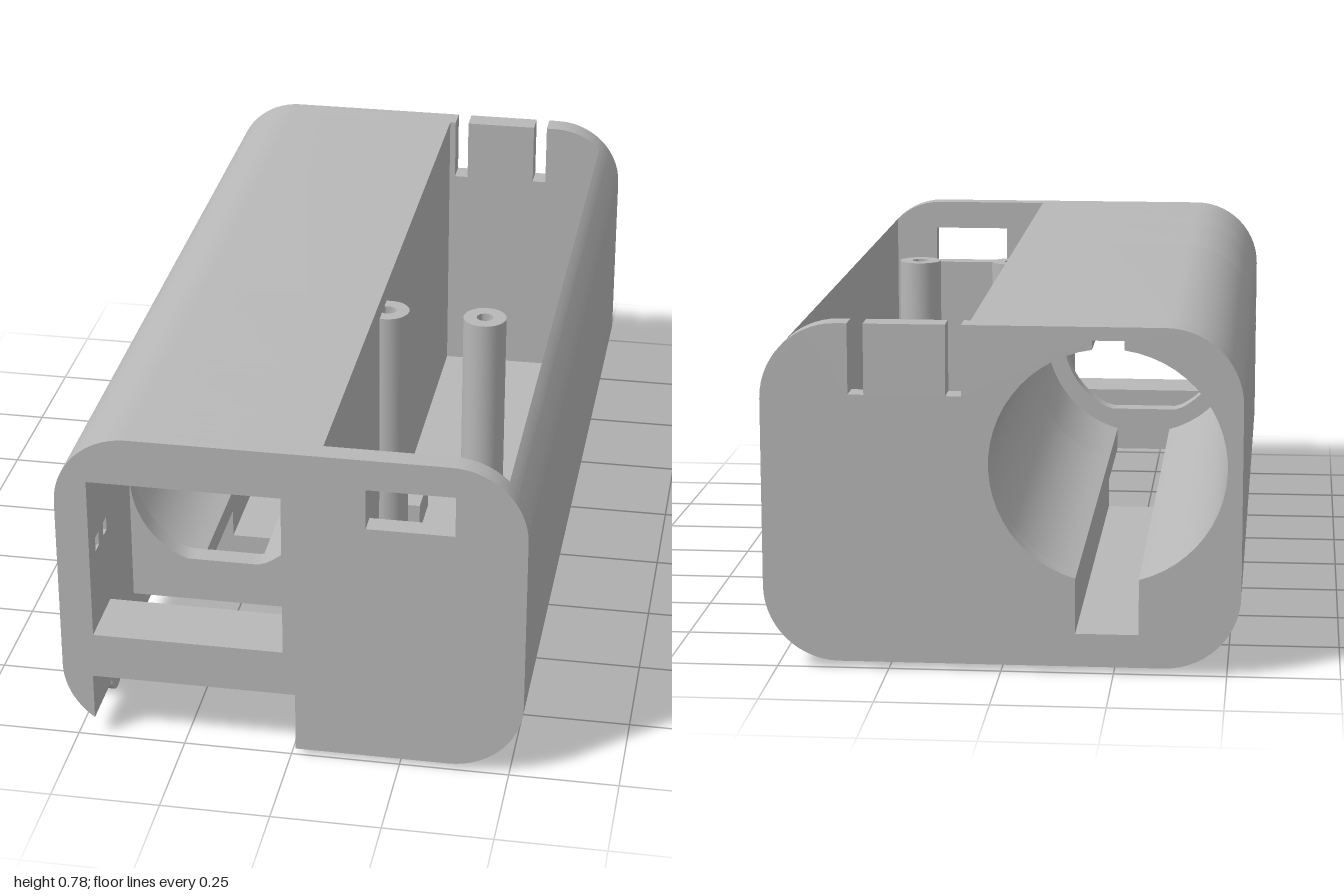
import * as THREE from 'three';
import { toCreasedNormals } from 'three/addons/utils/BufferGeometryUtils.js';

const PI = Math.PI;
const P = (x, y) => new THREE.Vector2(x, y);

// Points along a circular arc
function arc(cx, cy, r, a0, a1, n = 14) {
  return Array.from({ length: n + 1 }, (_, i) => {
    const a = a0 + (a1 - a0) * i / n;
    return P(cx + r * Math.cos(a), cy + r * Math.sin(a));
  });
}
const rect = (x0, x1, y0, y1) => [P(x0, y0), P(x1, y0), P(x1, y1), P(x0, y1)];

// Case dimensions
const X = 0.53, Y0 = 0.015, Y1 = 0.778, R = 0.17;
const BX = -0.235, BY = 0.468, BR = 0.262;

// Long round bore with a slot below and a small groove above
function bore(slotY) {
  const s = Math.acos(0.07 / BR), g = Math.acos(0.035 / BR);
  return [
    P(BX + 0.07, slotY), ...arc(BX, BY, BR, -s, g, 24),
    P(BX + 0.035, 0.748), P(BX - 0.035, 0.748),
    ...arc(BX, BY, BR, PI - g, PI + s, 24), P(BX - 0.07, slotY),
  ];
}

// Smaller bore in the lip, flattened above and below
const lipHole = arc(BX, BY, 0.218, 0, 2 * PI, 64).slice(0, -1)
  .map(p => P(p.x, THREE.MathUtils.clamp(p.y, BY - 0.198, BY + 0.198)));
const bay = rect(-0.455, -0.017, 0.27, 0.666);
const frontWindow = rect(0.172, 0.37, 0.608, 0.705);

// Outer cross-section, counter-clockwise, with optional cuts
function outline({ pocket, slits, cutout, ceiling = [], wireHole }) {
  const cx = X - R, cyLow = Y0 + R, cyHigh = Y1 - R;
  const pts = arc(cx, cyLow, R, -PI / 2, 0);
  if (pocket) {
    pts.push(...arc(cx, cyHigh, R, 0, Math.acos((0.48 - cx) / R)),
      ...arc(cx, cyLow, 0.12, 0, -PI / 2), P(0.07, 0.065), P(0.07, Y1));
  } else {
    pts.push(...arc(cx, cyHigh, R, 0, PI / 2));
  }
  if (slits) {
    for (const x of [0.335, 0.12]) {
      pts.push(P(x, Y1), P(x, 0.62), P(x - 0.035, 0.62), P(x - 0.035, Y1));
    }
  }
  pts.push(...arc(-cx, cyHigh, R, PI / 2, PI));
  if (wireHole) pts.push(P(-X, 0.492), P(-0.455, 0.492), P(-0.455, 0.458), P(-X, 0.458));
  if (cutout) {
    pts.push(...arc(-cx, cyLow, R, PI, PI + Math.acos((0.46 - cx) / R)),
      P(-0.46, 0.16), ...ceiling, P(0.01, 0.16), P(0.01, Y0));
  } else {
    pts.push(...arc(-cx, cyLow, R, PI, PI * 1.5));
  }
  return pts;
}

function extrude(points, holes, depth) {
  const shape = new THREE.Shape(points);
  shape.holes = holes.map(h => new THREE.Path(h));
  const geo = new THREE.ExtrudeGeometry(shape, { depth, bevelEnabled: false });
  return toCreasedNormals(geo, 0.5);
}

export function createModel() {
  const model = new THREE.Group();
  model.name = 'electronicsCase';
  const grey = new THREE.MeshStandardMaterial({ color: 0xb8b8b8 });
  grey.name = 'grey plastic';

  const add = (name, geo, x = 0, y = 0, z = 0) => {
    const mesh = new THREE.Mesh(geo, grey);
    mesh.name = name;
    mesh.position.set(x, y, z);
    model.add(mesh);
  };

  // Case body as consecutive slices from back to front
  const open = { pocket: true, cutout: true };
  const plain = outline(open), drilled = outline({ ...open, wireHole: true });
  const bayOpening = [P(-0.455, 0.16), P(-0.455, 0.666), P(-0.017, 0.666), P(-0.017, 0.16)];
  const slices = [
    ['backWall', -1, -0.94, outline({ slits: true }), [bore(0.09)]],
    ['rearBody', -0.94, 0.2, outline({ pocket: true }), [bore(0.09)]],
    ['middleBody', 0.2, 0.58, outline({ ...open, ceiling: bore(0.16).reverse() }), []],
    ['boreLip', 0.58, 0.63, plain, [lipHole]],
    ['openBay', 0.63, 0.84, outline({ ...open, ceiling: bayOpening }), []],
    ['bayFloorRear', 0.84, 0.845, plain, [bay]],
    ['rearWireHole', 0.845, 0.875, drilled, []],
    ['bayFloorMiddle', 0.875, 0.915, plain, [bay]],
    ['frontWireHole', 0.915, 0.945, drilled, []],
    ['bayFloorFront', 0.945, 0.95, plain, [bay]],
    ['frontWall', 0.95, 1, outline({ cutout: true }), [bay, frontWindow]],
  ];
  // The wire holes open the bay to the outside, so trace the bay within the outline
  for (const slice of slices) {
    if (slice[3] !== drilled) continue;
    const i = drilled.findIndex(p => p.x === -0.455 && p.y === 0.492);
    slice[3] = [
      ...drilled.slice(0, i + 1),
      P(-0.455, 0.666), P(-0.017, 0.666), P(-0.017, 0.27), P(-0.455, 0.27),
      ...drilled.slice(i + 1),
    ];
  }
  for (const [name, z0, z1, points, holes] of slices) {
    add(name, extrude(points, holes, z1 - z0), 0, 0, z0);
  }

  // Hinge lugs either side of the lower cutout
  for (const [name, x, width] of [['rightHingeLug', -0.512, 0.052], ['leftHingeLug', 0.01, 0.052]]) {
    const ring = extrude(arc(0, 0, 0.05, 0, 2 * PI, 32).slice(0, -1),
      [arc(0, 0, 0.02, 0, 2 * PI, 20).slice(0, -1)], width);
    add(name, ring.rotateY(PI / 2), x, 0.05, 0.79);
  }

  // Hollow screw posts in the pocket
  for (const [name, x] of [['innerScrewPost', 0.082], ['outerScrewPost', 0.318]]) {
    const post = new THREE.LatheGeometry(
      [P(0.052, 0.06), P(0.052, 0.735), P(0.02, 0.735), P(0.02, 0.06)], 32);
    add(name, toCreasedNormals(post, 0.5), x, 0, 0.165);
  }

  // Low blocks on the pocket floor
  add('switchBlock', new THREE.BoxGeometry(0.08, 0.08, 0.14), 0.108, 0.1, -0.01);
  add('locatingBlock', new THREE.BoxGeometry(0.045, 0.06, 0.04), 0.335, 0.09, 0.09);

  return model;
}
